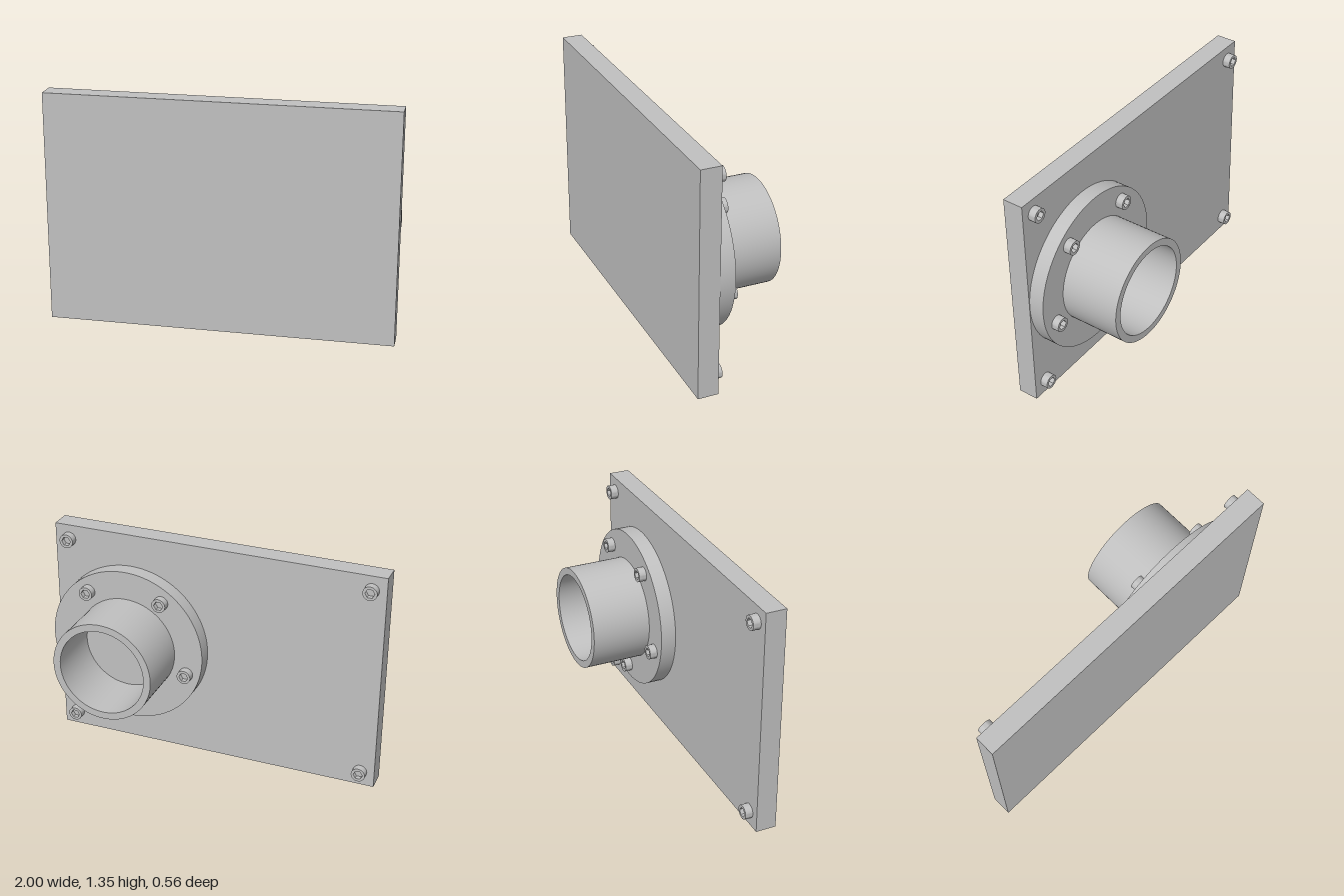
import * as THREE from 'three';
import { toCreasedNormals } from 'three/addons/utils/BufferGeometryUtils.js';

const steel = new THREE.MeshStandardMaterial({ color: 0xc0c0c0 });
steel.name = 'steel grey';

const CX = 0.52, CY = 0.677; // flange axis
const PLATE_BACK = 0.16, FLANGE_BACK = 0.07;
const BOLT_H = 0.044, BOLT_R = 0.042, SOCKET = 0.028;

// Round bar along z from 0 to depth, with an optional hole of any side count
function roundBar(radius, depth, segments, holeRadius = 0, holeSides = 0) {
  const circle = (path, r, n) => {
    for (let i = 0; i < n; i++) {
      const a = (i / n) * Math.PI * 2;
      path[i ? 'lineTo' : 'moveTo'](r * Math.cos(a), r * Math.sin(a));
    }
    path.closePath();
    return path;
  };
  const shape = circle(new THREE.Shape(), radius, segments);
  if (holeRadius) shape.holes.push(circle(new THREE.Path(), holeRadius, holeSides));
  const geometry = new THREE.ExtrudeGeometry(shape, { depth, bevelEnabled: false });
  return toCreasedNormals(geometry, 0.5);
}

function addMesh(parent, name, geometry, x, y, z) {
  const mesh = new THREE.Mesh(geometry, steel);
  mesh.name = name;
  mesh.position.set(x, y, z);
  parent.add(mesh);
  return mesh;
}

export function createModel() {
  const model = new THREE.Group();
  model.name = 'flangedPlate';

  // Base plate
  addMesh(model, 'plate', new THREE.BoxGeometry(2, 1.35, 0.12), 0, 0.675, 0.22);

  // Flange disc and the open pipe standing on it
  addMesh(model, 'flange', roundBar(0.477, PLATE_BACK - FLANGE_BACK, 96), CX, CY, FLANGE_BACK);
  addMesh(model, 'pipe', roundBar(0.305, FLANGE_BACK + 0.28, 72, 0.262, 72), CX, CY, -0.28);

  // Socket-head bolts
  const head = roundBar(BOLT_R, SOCKET, 32, 0.028, 6);
  const base = roundBar(BOLT_R, BOLT_H - SOCKET, 32);
  const addBolt = (name, x, y, seat) => {
    const bolt = new THREE.Group();
    bolt.name = name;
    bolt.position.set(x, y, seat - BOLT_H);
    addMesh(bolt, 'boltSocket', head, 0, 0, 0);
    addMesh(bolt, 'boltBase', base, 0, 0, SOCKET);
    model.add(bolt);
  };

  // Five bolts around the flange
  for (let i = 0; i < 5; i++) {
    const a = THREE.MathUtils.degToRad(268.8 + i * 72);
    addBolt('flangeBolt', CX + 0.394 * Math.cos(a), CY + 0.394 * Math.sin(a), FLANGE_BACK);
  }

  // One bolt in each plate corner
  for (const x of [-0.914, 0.914]) {
    for (const y of [0.088, 1.263]) addBolt('cornerBolt', x, y, PLATE_BACK);
  }

  return model;
}
